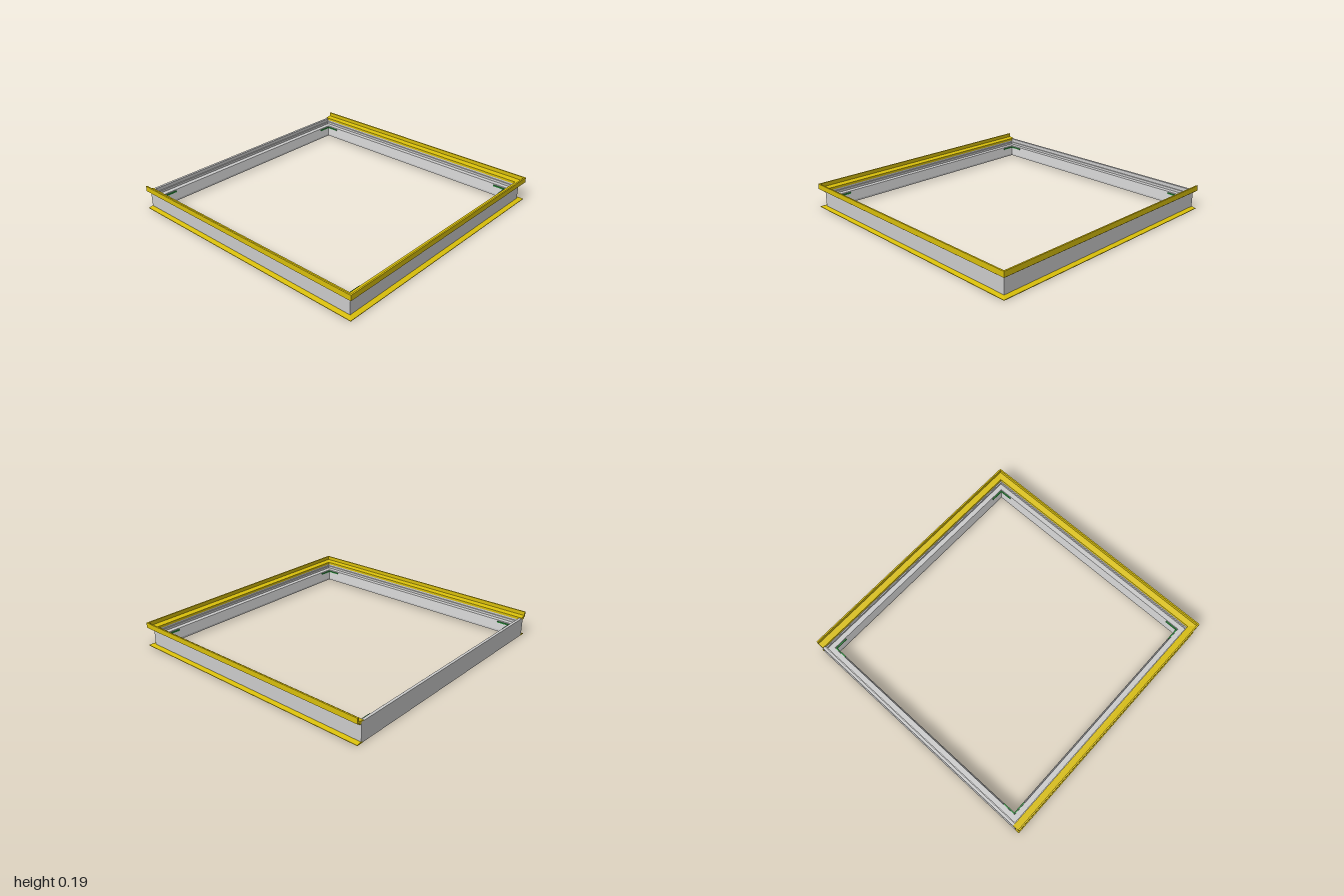
import * as THREE from 'three';

const grey = new THREE.MeshStandardMaterial({ color: 0xcccccc });
const yellow = new THREE.MeshStandardMaterial({ color: 0xd9bf0a });
const green = new THREE.MeshStandardMaterial({ color: 0x2f8f3f });

// Outer wall faces of the frame
const X = 0.965, BACK = -1, FRONT = 0.965;

// Sweeps a counter-clockwise profile of [outward, height] round the frame with mitred corners.
// A closed sweep covers four sides; an open one leaves the back free and caps its ends.
function sweep(name, profile, material, closed) {
  const back = closed ? -1 : 0;
  const stations = [
    [-X, BACK, -1, back], [-X, FRONT, -1, 1], [X, FRONT, 1, 1], [X, BACK, 1, back],
  ];
  const at = (i, j) => {
    const [x, z, dx, dz] = stations[i % 4];
    const [u, y] = profile[j % profile.length];
    return [x + dx * u, y, z + dz * u];
  };
  const positions = [];
  const triangle = (...points) => points.forEach((p) => positions.push(...p));
  for (let i = 0; i < (closed ? 4 : 3); i++) {
    for (let j = 0; j < profile.length; j++) {
      const a = at(i, j), b = at(i + 1, j), c = at(i + 1, j + 1), d = at(i, j + 1);
      triangle(a, b, c);
      triangle(a, c, d);
    }
  }
  if (!closed) {
    const outline = profile.map(([u, y]) => new THREE.Vector2(u, y));
    for (const [a, b, c] of THREE.ShapeUtils.triangulateShape(outline, [])) {
      triangle(at(0, a), at(0, b), at(0, c));
      triangle(at(3, c), at(3, b), at(3, a));
    }
  }
  const geometry = new THREE.BufferGeometry();
  geometry.setAttribute('position', new THREE.Float32BufferAttribute(positions, 3));
  geometry.computeVertexNormals();
  const mesh = new THREE.Mesh(geometry, material);
  mesh.name = name;
  return mesh;
}

export function createModel() {
  const model = new THREE.Group();
  model.name = 'windowFrame';

  // Main frame: tall outer wall, stepped ledge and steep inner face
  model.add(sweep('frame', [
    [-0.08, 0.015], [-0.06, 0.015], [-0.06, 0.008], [-0.045, 0.008], [-0.045, 0.015],
    [-0.03, 0.015], [-0.03, 0.002], [0, 0.002], [0, 0.145], [-0.02, 0.145],
    [-0.02, 0.118], [-0.028, 0.118], [-0.028, 0.1], [-0.065, 0.1], [-0.08, 0.03],
  ], grey, true));

  // Upper rail on three sides: flat ledge with an upright outer lip
  model.add(sweep('upperRail', [
    [-0.021, 0.132], [0.018, 0.132], [0.018, 0.145], [0.035, 0.145], [0.035, 0.185],
    [0.024, 0.185], [0.024, 0.156], [-0.021, 0.15],
  ], yellow, false));

  // Thin tapered flange at the foot of the same three sides
  model.add(sweep('lowerFlange', [
    [-0.012, 0], [0.035, 0], [0.035, 0.004], [0.008, 0.01], [-0.012, 0.01],
  ], yellow, false));

  // Small corner brackets along the inner edge
  const brackets = new THREE.Group();
  brackets.name = 'cornerBrackets';
  const inset = 0.071, length = 0.1;
  for (const sx of [-1, 1]) {
    for (const [wall, sz] of [[BACK, -1], [FRONT, 1]]) {
      const x = sx * (X - inset), z = wall - sz * inset;
      const alongX = new THREE.Mesh(new THREE.BoxGeometry(length, 0.01, 0.01), green);
      alongX.position.set(x - sx * length / 2, 0.088, z);
      const alongZ = new THREE.Mesh(new THREE.BoxGeometry(0.01, 0.01, length), green);
      alongZ.position.set(x, 0.088, z - sz * length / 2);
      alongX.name = alongZ.name = 'cornerBracket';
      brackets.add(alongX, alongZ);
    }
  }
  model.add(brackets);
  return model;
}
